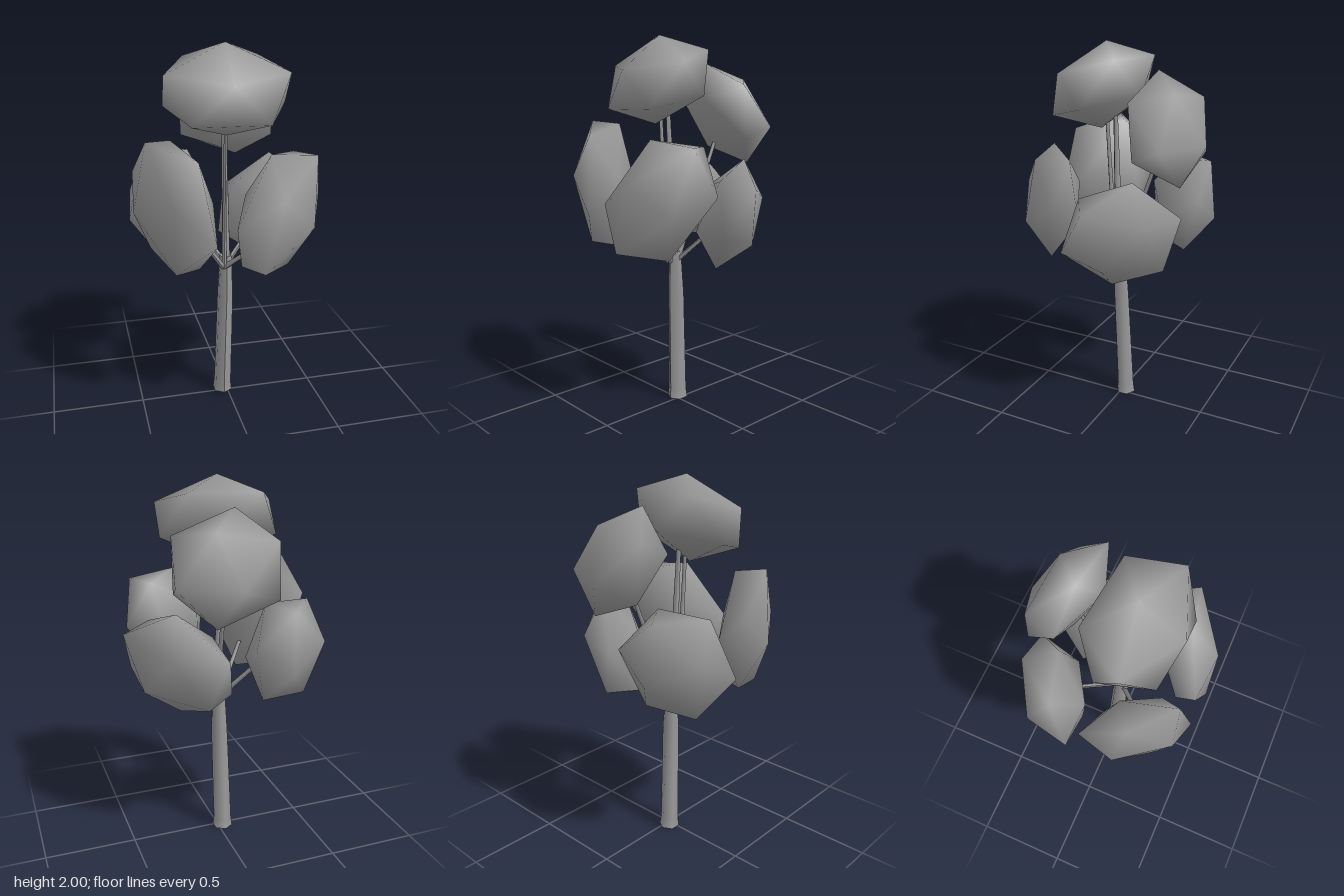
import * as THREE from 'three';
import { mergeVertices } from 'three/addons/utils/BufferGeometryUtils.js';

const grey = new THREE.MeshStandardMaterial({ color: 0x999999 });
grey.name = 'plain grey';

const PHI = (1 + Math.sqrt(5)) / 2;
const vec = (p) => new THREE.Vector3(p[0], p[1], p[2]);
const basis = (a, b, c) => new THREE.Matrix4().makeBasis(vec(a), vec(b), vec(c));

// Leaf clump: an icosahedron stretched so that three of its corners land on
// a, b and c (offsets from the centre; b neighbours a and c).
function leafClump(name, centre, a, b, c) {
  const toUnit = basis([0, 1, PHI], [1, PHI, 0], [PHI, 0, -1]).invert();
  let m = basis(a, b, c).multiply(toUnit);
  if (m.determinant() < 0) m = basis(c, b, a).multiply(toUnit);
  let geo = new THREE.IcosahedronGeometry(Math.sqrt(1 + PHI * PHI), 0);
  geo.deleteAttribute('uv');
  geo.deleteAttribute('normal');
  geo = mergeVertices(geo, 1e-3);
  geo.applyMatrix4(m);
  geo.computeVertexNormals();
  const mesh = new THREE.Mesh(geo, grey);
  mesh.name = name;
  mesh.position.set(...centre);
  return mesh;
}

// Limb: a cylinder whose rings follow a list of [x, y, z, radius].
function limb(name, rings, sides) {
  const n = rings.length - 1;
  const geo = new THREE.CylinderGeometry(1, 1, 1, sides, n);
  const dir = vec(rings[n]).sub(vec(rings[0])).normalize();
  const turn = new THREE.Quaternion().setFromUnitVectors(new THREE.Vector3(0, 1, 0), dir);
  const pos = geo.attributes.position;
  for (let i = 0; i < pos.count; i++) {
    const ring = rings[Math.round((pos.getY(i) + 0.5) * n)];
    const p = new THREE.Vector3(pos.getX(i) * ring[3], 0, pos.getZ(i) * ring[3]);
    p.applyQuaternion(turn).add(vec(ring));
    pos.setXYZ(i, p.x, p.y, p.z);
  }
  geo.computeVertexNormals();
  const mesh = new THREE.Mesh(geo, grey);
  mesh.name = name;
  return mesh;
}

export function createModel() {
  const tree = new THREE.Group();
  tree.name = 'tree';

  // Trunk with a slight flare and bend
  tree.add(limb('trunk', [
    [-0.025, 0, -0.022, 0.057],
    [-0.025, 0.05, -0.02, 0.051],
    [-0.013, 0.62, 0.002, 0.045],
    [-0.012, 0.86, 0.01, 0.034],
  ], 6));

  // Branches reaching into the clumps
  const branches = [
    ['topBranch', [-0.012, 0.82, 0.015, 0.024], [-0.03, 1.65, 0.045, 0.012]],
    ['topFrontBranch', [-0.03, 0.8, 0.045, 0.014], [-0.03, 1.62, 0.095, 0.01]],
    ['upperBackBranch', [0.0, 0.82, 0.0, 0.016], [0.045, 1.47, -0.24, 0.01]],
    ['frontRightBranch', [-0.03, 0.8, 0.04, 0.015], [-0.2, 1.06, 0.18, 0.011]],
    ['frontLeftBranch', [-0.02, 0.8, 0.035, 0.015], [0.15, 1.01, 0.23, 0.011]],
    ['backLeftBranch', [-0.01, 0.8, 0.01, 0.015], [0.16, 0.98, -0.09, 0.011]],
    ['backRightBranch', [-0.02, 0.82, 0.0, 0.015], [-0.22, 1.09, -0.17, 0.011]],
  ];
  for (const [name, from, to] of branches) tree.add(limb(name, [from, to], 5));

  // Leaf clumps
  const clumps = [
    ['topLeaves', [-0.033, 1.776, 0.112],
      [-0.315, 0.08, 0.03], [0, 0.225, -0.015], [0.305, 0.085, 0.095]],
    ['upperBackLeaves', [0.062, 1.6, -0.297],
      [-0.022, -0.08, -0.188], [0.273, -0.067, -0.063], [0.238, 0.15, 0.112]],
    ['frontRightLeaves', [-0.33, 1.225, 0.235],
      [-0.17, 0.137, -0.235], [-0.19, -0.028, -0.055], [-0.025, 0.052, 0.195]],
    ['frontLeftLeaves', [0.2, 1.19, 0.3],
      [-0.257, -0.03, 0.145], [-0.03, 0.088, 0.168], [0.205, 0.268, -0.033]],
    ['backLeftLeaves', [0.26, 1.08, -0.135],
      [0.104, 0.198, 0.185], [0.03, 0.29, -0.071], [-0.195, 0.066, -0.241]],
    ['backRightLeaves', [-0.286, 1.14, -0.249],
      [-0.203, 0.035, -0.05], [0.033, -0.074, -0.197], [0.233, 0.065, -0.17]],
  ];
  for (const clump of clumps) tree.add(leafClump(...clump));

  return tree;
}
